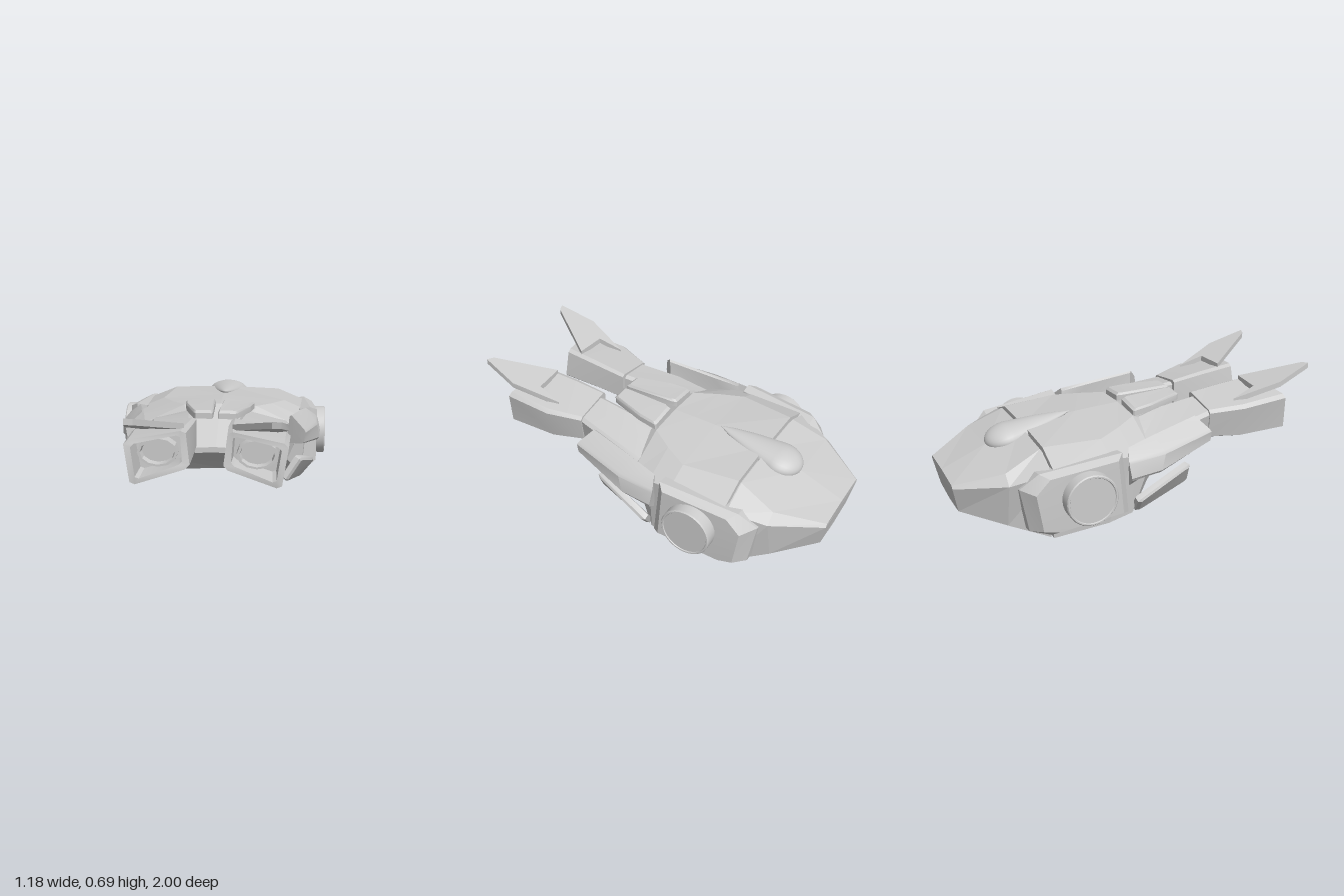
import * as THREE from 'three';
import { toCreasedNormals } from 'three/addons/utils/BufferGeometryUtils.js';

const hullGrey = new THREE.MeshStandardMaterial({ color: 0xcccccc });
hullGrey.name = 'hull grey';

// Closed solid through matching rings of [x, y, z] points, flat shaded
function loft(rings) {
  const pos = [], n = rings[0].length;
  const tri = (a, b, c) => pos.push(...a, ...b, ...c);
  const centre = r => [0, 1, 2].map(k => r.reduce((s, p) => s + p[k], 0) / n);
  const first = rings[0], last = rings[rings.length - 1];
  const c0 = centre(first), c1 = centre(last);
  for (let i = 0; i < n; i++) {
    const j = (i + 1) % n;
    tri(c0, first[j], first[i]);
    for (let r = 0; r + 1 < rings.length; r++) {
      const a = rings[r], b = rings[r + 1];
      tri(a[i], a[j], b[j]);
      tri(a[i], b[j], b[i]);
    }
    tri(c1, last[i], last[j]);
  }
  // Turn the solid right side out
  let volume = 0;
  const A = new THREE.Vector3(), B = new THREE.Vector3(), C = new THREE.Vector3();
  for (let i = 0; i < pos.length; i += 9) {
    volume += A.fromArray(pos, i).dot(B.fromArray(pos, i + 3).cross(C.fromArray(pos, i + 6)));
  }
  const g = new THREE.BufferGeometry();
  g.setAttribute('position', new THREE.Float32BufferAttribute(pos, 3));
  if (volume < 0) flip(g);
  g.computeVertexNormals();
  return g;
}

// Swap two corners of every triangle
function flip(g) {
  const p = g.attributes.position, a = new THREE.Vector3(), b = new THREE.Vector3();
  for (let i = 0; i < p.count; i += 3) {
    a.fromBufferAttribute(p, i + 1);
    b.fromBufferAttribute(p, i + 2);
    p.setXYZ(i + 1, b.x, b.y, b.z);
    p.setXYZ(i + 2, a.x, a.y, a.z);
  }
}

// Cut the corners off a polygon
function chamfer(corners, c = 0.1) {
  const n = corners.length;
  const mix = (p, q) => p.map((v, k) => v + (q[k] - v) * c);
  return corners.flatMap((p, i) => [mix(p, corners[(i + n - 1) % n]), mix(p, corners[(i + 1) % n])]);
}

// Whole hull cross-section: top middle, top edge, waist, chine, bottom middle
function hullRing([z, top, ex, ey, wx, wy, bx, by, bottom]) {
  const side = [[ex, ey, z], [wx, wy, z], [bx, by, z < -0.9 ? z + 0.03 : z]];
  return [[0, top, z], ...side, [0, bottom, side[2][2]],
    ...side.slice().reverse().map(([x, y, d]) => [-x, y, d])];
}

export function createModel() {
  const model = new THREE.Group();
  model.name = 'craft';
  const add = (name, g) => {
    const m = new THREE.Mesh(g, hullGrey);
    m.name = name;
    model.add(m);
  };
  const pair = (name, geometry) => {
    const g = geometry.index ? geometry.toNonIndexed() : geometry;
    const mirrored = g.clone().scale(-1, 1, 1);
    flip(mirrored);
    mirrored.computeVertexNormals();
    add(name + 'Left', toCreasedNormals(g, 0.5));
    add(name + 'Right', toCreasedNormals(mirrored, 0.5));
  };

  // Rear and front hull shells, with a sunken core showing in the seam
  add('rearHull', loft([
    [-1, 0.285, 0.2, 0.28, 0.215, 0.265, 0.18, 0.12, 0.11],
    [-0.76, 0.385, 0.34, 0.36, 0.395, 0.31, 0.34, 0.07, 0.06],
    [-0.566, 0.455, 0.31, 0.445, 0.475, 0.375, 0.44, 0.01, 0.02],
  ].map(hullRing)));
  add('seamCore', loft([-0.58, -0.54].map(z =>
    hullRing([z, 0.435, 0.3, 0.425, 0.455, 0.36, 0.42, 0.03, 0.04]))));
  add('frontHull', loft([
    [-0.552, 0.462, 0.31, 0.452, 0.482, 0.38, 0.44, 0, 0.02],
    [-0.25, 0.488, 0.35, 0.46, 0.49, 0.4, 0.45, 0.025, 0.035],
    [-0.12, 0.495, 0.28, 0.475, 0.475, 0.39, 0.455, 0.06, 0.08],
    [0, 0.5, 0.2, 0.49, 0.45, 0.37, 0.375, 0.185, 0.16],
    [0.29, 0.34, 0.11, 0.335, 0.12, 0.325, 0.11, 0.305, 0.31],
  ].map(hullRing)));

  // Teardrop canopy: round at the back, pointed at the front
  const drop = [];
  for (let i = 0; i <= 10; i++) {
    const a = (i / 10) * 1.85;
    drop.push(new THREE.Vector2(0.115 * Math.sin(a), 0.115 - 0.115 * Math.cos(a)));
  }
  drop.push(new THREE.Vector2(0.072, 0.3), new THREE.Vector2(0.032, 0.42), new THREE.Vector2(0, 0.49));
  const canopy = new THREE.LatheGeometry(drop, 28);
  canopy.rotateX(Math.PI / 2).scale(1, 0.55, 1).rotateX(-0.22).translate(0, 0.388, -0.76);
  canopy.computeVertexNormals();
  add('canopy', canopy);

  // Side pods, standing just off the hull
  const rim = [[0.5, 0.435, -0.2], [0.465, 0.385, -0.63], [0.425, 0.3, -0.72],
    [0.44, 0.07, -0.68], [0.475, 0.045, -0.58], [0.505, 0.1, -0.165]];
  pair('sidePod', loft([
    rim.map(([x, y, z]) => [x - 0.06, y - 0.01, z]),
    rim,
    rim.map(([, y, z]) => [z < -0.5 ? 0.515 : 0.54, 0.245 + (y - 0.245) * 0.88, -0.4 + (z + 0.4) * 0.82]),
  ]));

  // Round hubs on the pods
  const hub = [[0.137, 0], [0.137, 0.064], [0.132, 0.07], [0.125, 0.07], [0.122, 0.065], [0, 0.065]];
  pair('hub', new THREE.LatheGeometry(hub.map(p => new THREE.Vector2(...p)), 32)
    .rotateZ(-Math.PI / 2).translate(0.52, 0.247, -0.395));

  // Arms reaching forward
  pair('arm', loft([
    chamfer([[0.17, 0.46, -0.04], [0.17, 0.32, -0.04], [0.37, 0.27, -0.04], [0.39, 0.395, -0.04]]),
    chamfer([[0.13, 0.5, 0.18], [0.13, 0.34, 0.18], [0.33, 0.29, 0.18], [0.37, 0.45, 0.18]]),
    chamfer([[0.11, 0.52, 0.42], [0.11, 0.36, 0.42], [0.29, 0.33, 0.42], [0.32, 0.49, 0.42]]),
  ]));

  // Hollow hands with a framed opening
  pair('hand', loft([
    [[0.09, 0.535, 0.4], [0.09, 0.37, 0.4], [0.3, 0.325, 0.41], [0.33, 0.495, 0.4]],
    [[0.09, 0.56, 0.58], [0.08, 0.39, 0.58], [0.35, 0.32, 0.58], [0.395, 0.52, 0.58]],
    [[0.1, 0.58, 0.78], [0.078, 0.4, 0.8], [0.355, 0.325, 0.86], [0.388, 0.54, 0.84]],
    [[0.125, 0.558, 0.785], [0.115, 0.42, 0.8], [0.33, 0.355, 0.86], [0.355, 0.522, 0.84]],
    [[0.13, 0.552, 0.7], [0.12, 0.42, 0.7], [0.325, 0.36, 0.72], [0.35, 0.518, 0.72]],
  ].map(r => chamfer(r, 0.08))));

  // Muzzle ring and plate inside each hand
  const ring = [[0.098, 0], [0.098, 0.06], [0.084, 0.06], [0.076, 0], [0.098, 0]];
  pair('muzzleRing', new THREE.LatheGeometry(ring.map(p => new THREE.Vector2(...p)), 12)
    .rotateX(Math.PI / 2).scale(1, 0.72, 1).translate(0.237, 0.462, 0.71));
  pair('muzzlePlate', new THREE.CylinderGeometry(0.08, 0.08, 0.03, 12)
    .rotateX(Math.PI / 2).scale(1, 0.72, 1).translate(0.237, 0.462, 0.72));

  // Notched fins rising forward from the hands
  const outline = [[0.35, 1], [0.31, 0.985], [0.115, 0.7], [0.29, 0.69], [0.31, 0.555], [0.385, 0.8]];
  const fin = new THREE.ExtrudeGeometry(
    new THREE.Shape(outline.map(([x, z]) => new THREE.Vector2(x, -z))),
    { depth: 0.03, bevelEnabled: false });
  fin.rotateX(-Math.PI / 2);
  const fp = fin.attributes.position;
  for (let i = 0; i < fp.count; i++) fp.setY(i, fp.getY(i) + 0.664 + (fp.getZ(i) - 1) * 0.35);
  fin.computeVertexNormals();
  pair('handFin', fin);

  // Small deck plates between the arms
  const plate = (lift, s) => chamfer([[0.025, 0.495, 0.01], [0.19, 0.48, 0.01], [0.175, 0.49, 0.12],
    [0.11, 0.503, 0.32], [0.012, 0.505, 0.325]].map(([x, y, z]) =>
    [0.09 + (x - 0.09) * s, y + lift, 0.16 + (z - 0.16) * s]), 0.06);
  pair('deckPlate', loft([plate(0, 1), plate(0.03, 1), plate(0.042, 0.9)]));

  // Upper outer shields
  pair('armShield', loft([
    chamfer([[0.465, 0.45, -0.15], [0.54, 0.39, -0.18], [0.56, 0.3, -0.17], [0.475, 0.23, -0.15]]),
    chamfer([[0.43, 0.48, 0], [0.535, 0.41, 0.03], [0.55, 0.31, 0], [0.44, 0.28, 0]]),
    chamfer([[0.385, 0.525, 0.26], [0.47, 0.45, 0.33], [0.46, 0.385, 0.33], [0.37, 0.36, 0.25]]),
  ]));

  // Lower outer fins: flat plates leaning outward
  const slab = (shift, s) => chamfer([[0.445, 0.27, 0.22], [0.365, 0.148, 0.25],
    [0.443, 0.06, -0.1], [0.525, 0.158, -0.12]].map(([x, y, z]) => [
    0.445 + (x - 0.445) * s - 0.82 * shift, 0.16 + (y - 0.16) * s + 0.45 * shift,
    0.06 + (z - 0.06) * s - 0.34 * shift]), 0.06);
  pair('lowerFin', loft([slab(-0.012, 0.9), slab(0, 1), slab(0.03, 0.96)]));

  return model;
}
